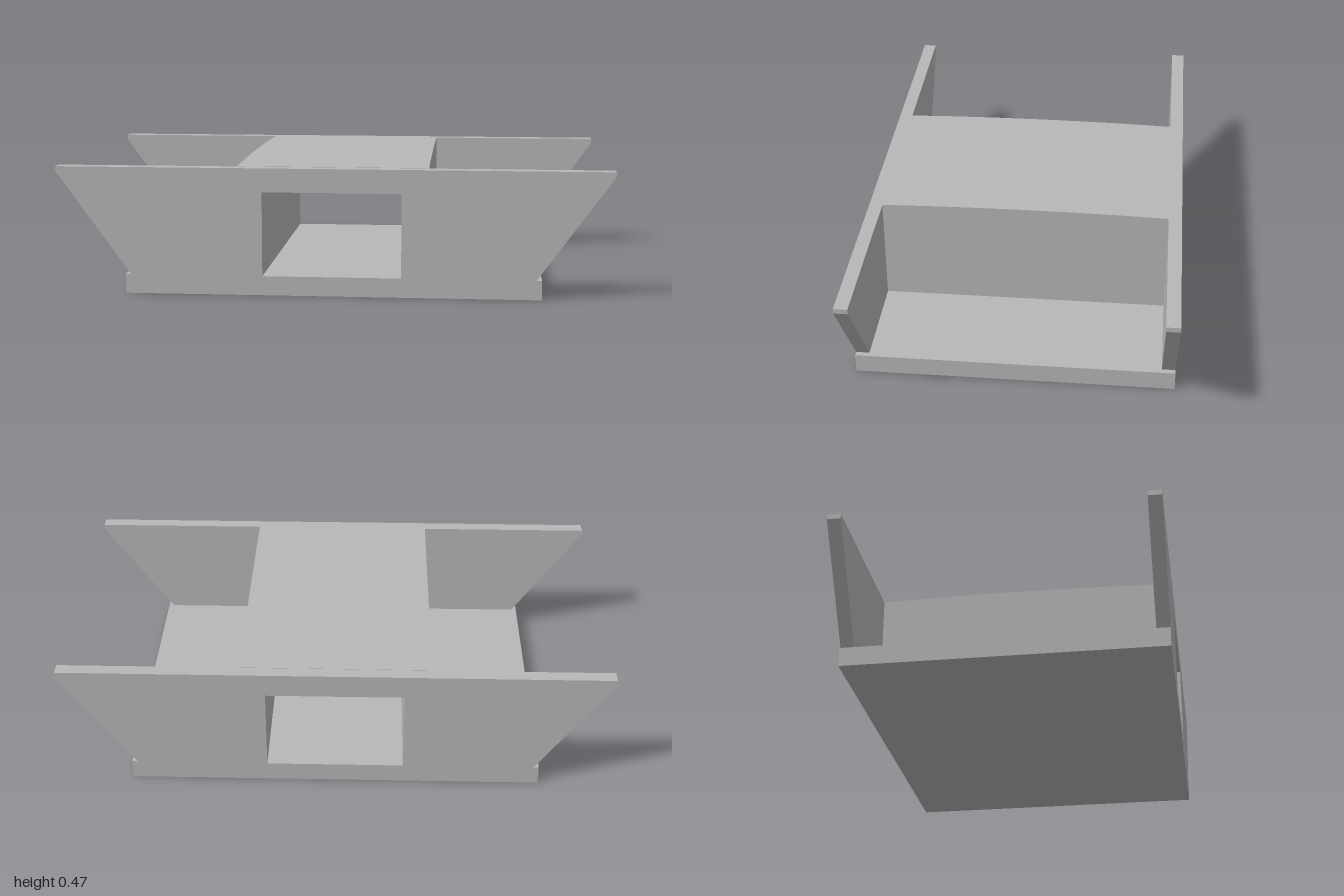
import * as THREE from 'three';

export function createModel() {
  const model = new THREE.Group();
  model.name = 'boxCulvert';
  const concrete = new THREE.MeshStandardMaterial({ color: 0xb8b8b8 });
  concrete.name = 'concrete grey';

  const SLAB = 0.07, TOP = 0.461, OUT = 0.578, IN = 0.529;
  const HOLE_X = 0.25, HOLE_TOP = 0.375, BODY_X = 0.345;

  const add = (name, geometry, x = 0, y = 0, z = 0) => {
    const mesh = new THREE.Mesh(geometry, concrete);
    mesh.name = name;
    mesh.position.set(x, y, z);
    model.add(mesh);
    return mesh;
  };
  const shapeOf = (points) => new THREE.Shape(points.map(([x, y]) => new THREE.Vector2(x, y)));

  // Foundation slab
  add('baseSlab', new THREE.BoxGeometry(1.5, SLAB, OUT * 2), 0, SLAB / 2, 0);

  // Flared end walls with the rectangular opening
  const wall = shapeOf([
    [-0.73, SLAB], [-HOLE_X, SLAB], [-HOLE_X, HOLE_TOP], [HOLE_X, HOLE_TOP], [HOLE_X, SLAB],
    [0.73, SLAB], [1, 0.443], [1, TOP], [-1, TOP], [-1, 0.443],
  ]);
  const wallGeometry = new THREE.ExtrudeGeometry(wall, { depth: OUT - IN, bevelEnabled: false });
  add('frontWingWall', wallGeometry, 0, 0, IN);
  add('backWingWall', wallGeometry, 0, 0, -OUT);

  // Side walls of the passage
  for (const side of [1, -1]) {
    add(side > 0 ? 'leftPassageWall' : 'rightPassageWall',
      new THREE.BoxGeometry(BODY_X - HOLE_X, HOLE_TOP - SLAB, IN * 2),
      side * (BODY_X + HOLE_X) / 2, (HOLE_TOP + SLAB) / 2, 0);
  }

  // Roof deck with a slight camber along z
  const deck = [[-IN, HOLE_TOP], [IN, HOLE_TOP]];
  const steps = 6;
  for (let i = 0; i <= steps; i++) {
    const t = 1 - (2 * i) / steps;
    deck.push([t * IN, TOP + 0.001 + 0.008 * (1 - t * t)]);
  }
  const deckGeometry = new THREE.ExtrudeGeometry(shapeOf(deck), { depth: BODY_X * 2, bevelEnabled: false });
  deckGeometry.translate(0, 0, -BODY_X);
  deckGeometry.rotateY(Math.PI / 2);
  add('roofDeck', deckGeometry);

  return model;
}
